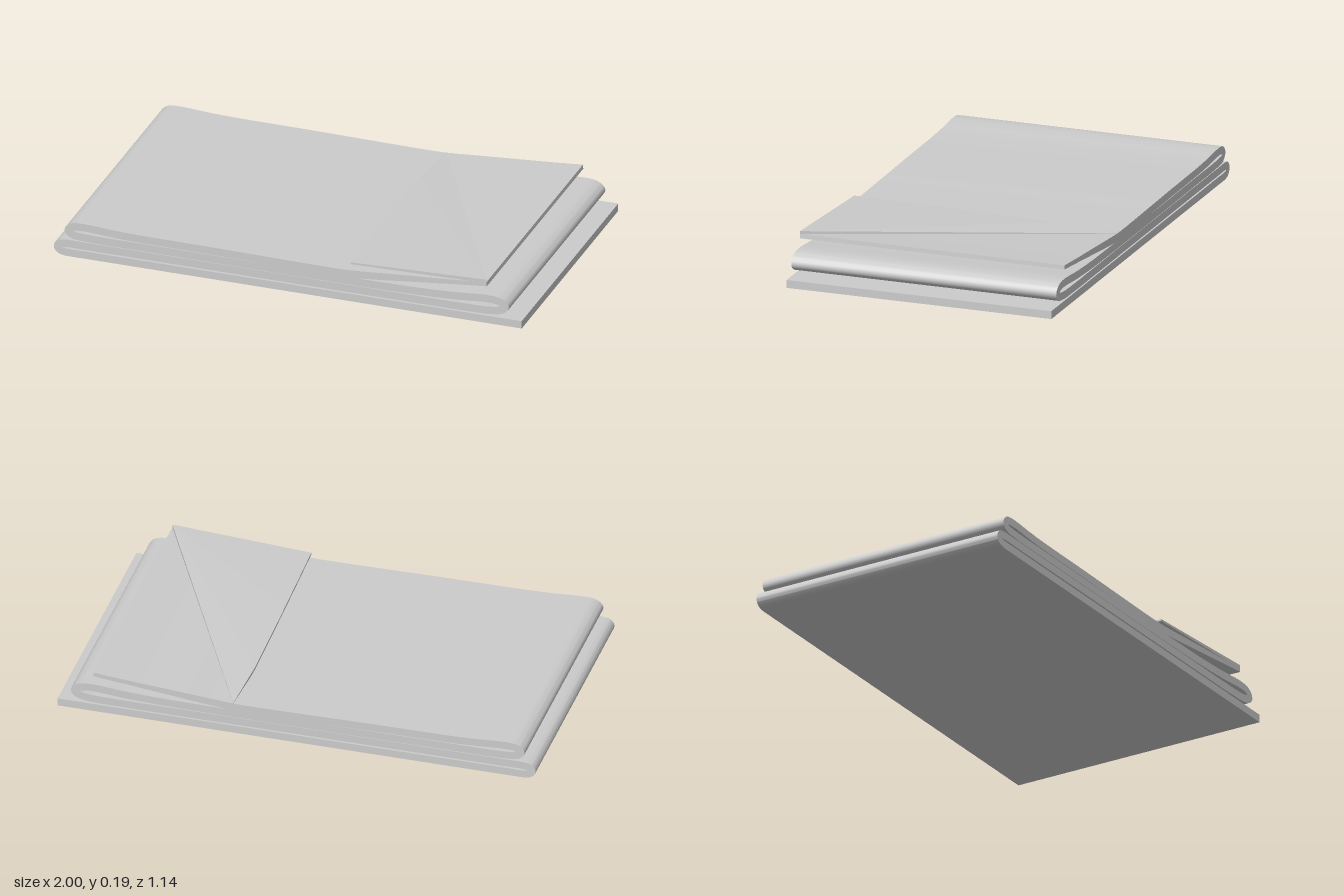
import * as THREE from 'three';
import { toCreasedNormals } from 'three/addons/utils/BufferGeometryUtils.js';

const DEPTH = 1.14;
const HALF_THICK = 0.0165;

// Centre line of the folded cloth, from the bottom layer up to the lifted end
const PATH = [
  [1, 0.0165], [0.3, 0.0165], [-0.85, 0.0165], [-0.955, 0.0175], [-0.976, 0.024], [-0.9835, 0.037],
  [-0.976, 0.05], [-0.955, 0.0555], [-0.85, 0.056], [0.5, 0.0555], [0.75, 0.056], [0.87, 0.0595],
  [0.912, 0.068], [0.9285, 0.084], [0.912, 0.101], [0.87, 0.109], [0.7, 0.0985], [0.5, 0.092],
  [-0.6, 0.0915], [-0.87, 0.0935], [-0.922, 0.1], [-0.9375, 0.116], [-0.922, 0.132], [-0.89, 0.138],
  [-0.7, 0.129], [-0.3, 0.1255], [0.2, 0.1205], [0.27, 0.122], [0.55, 0.146], [0.85, 0.173],
];

// One long sheet: offset the centre line to both sides and extrude it
function foldedCloth() {
  const curve = new THREE.CatmullRomCurve3(PATH.map(([x, y]) => new THREE.Vector3(x, y, 0)), false, 'centripetal');
  const steps = (PATH.length - 1) * 5;
  const sideA = [], sideB = [];
  for (let i = 0; i <= steps; i++) {
    const t = i / steps;
    const p = curve.getPoint(t);
    const d = curve.getTangent(t);
    // the lifted end thins out
    const half = THREE.MathUtils.lerp(HALF_THICK, 0.009, THREE.MathUtils.smoothstep(t, 27 / 29, 1));
    sideA.push(new THREE.Vector2(p.x - d.y * half, Math.max(0, p.y + d.x * half)));
    sideB.push(new THREE.Vector2(p.x + d.y * half, Math.max(0, p.y - d.x * half)));
  }
  const shape = new THREE.Shape([...sideA, ...sideB.reverse()]);
  const geo = new THREE.ExtrudeGeometry(shape, { depth: DEPTH, bevelEnabled: false });
  geo.translate(0, 0, -DEPTH / 2);
  return toCreasedNormals(geo, 0.6);
}

// Thin triangular corner turned back over the lifted end
function cornerFlap() {
  // x, top y, z, thickness, counter-clockwise from above
  const rim = [
    [0.265, 0.14, -0.57, 0.012],
    [0.25, 0.152, -0.3, 0.01],
    [0.256, 0.162, 0.15, 0.009],
    [0.265, 0.169, 0.56, 0.008],
    [0.85, 0.194, 0.57, 0.016],
  ];
  const top = rim.map(([x, y, z]) => [x, y, z]);
  const low = rim.map(([x, y, z, h]) => [x, y - h, z]);
  const pos = [];
  const tri = (a, b, c) => pos.push(...a, ...b, ...c);
  const n = rim.length;
  for (let i = 0; i < n; i++) {
    const j = (i + 1) % n;
    if (i < n - 2) {
      tri(top[n - 1], top[i], top[i + 1]);
      tri(low[n - 1], low[i + 1], low[i]);
    }
    tri(top[i], low[i], low[j]);
    tri(top[i], low[j], top[j]);
  }
  const geo = new THREE.BufferGeometry();
  geo.setAttribute('position', new THREE.Float32BufferAttribute(pos, 3));
  geo.computeVertexNormals();
  return geo;
}

export function createModel() {
  const group = new THREE.Group();
  group.name = 'foldedTowel';
  const material = new THREE.MeshStandardMaterial({ color: 0xcccccc, side: THREE.DoubleSide });
  const add = (name, geo) => {
    const mesh = new THREE.Mesh(geo, material);
    mesh.name = name;
    group.add(mesh);
  };
  add('foldedCloth', foldedCloth());
  add('cornerFlap', cornerFlap());
  return group;
}
